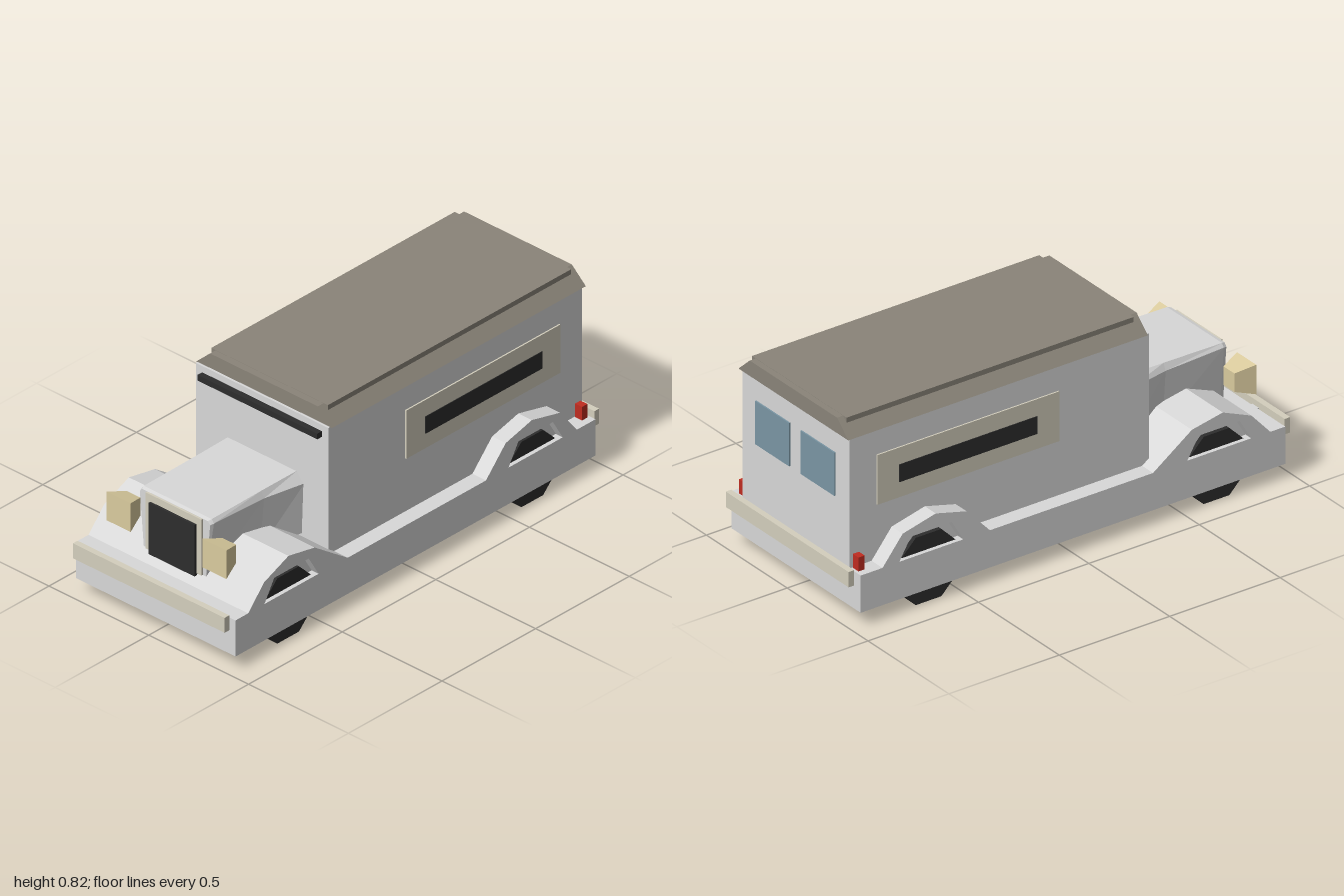
import * as THREE from 'three';
import { mergeGeometries } from 'three/addons/utils/BufferGeometryUtils.js';

const paint = (name, color) => {
  const m = new THREE.MeshStandardMaterial({ color, flatShading: true });
  m.name = name;
  return m;
};

// Solid skinned through cross-sections [z, [[x, y], ...]], rear to front,
// points running counter-clockwise when seen from the front.
function loft(sections) {
  const pos = [];
  const rings = sections.map(([z, pts]) => pts.map(([x, y]) => [x, y, z]));
  const n = rings[0].length;
  const tri = (a, b, c) => pos.push(...a, ...b, ...c);
  for (let i = 0; i < rings.length - 1; i++) {
    for (let j = 0; j < n; j++) {
      const k = (j + 1) % n, a = rings[i], b = rings[i + 1];
      tri(a[j], a[k], b[j]);
      tri(a[k], b[k], b[j]);
    }
  }
  const back = rings[0], front = rings[rings.length - 1];
  for (let j = 1; j < n - 1; j++) {
    tri(back[0], back[j + 1], back[j]);
    tri(front[0], front[j], front[j + 1]);
  }
  const g = new THREE.BufferGeometry();
  g.setAttribute('position', new THREE.Float32BufferAttribute(pos, 3));
  g.computeVertexNormals();
  return g;
}

// Side profile of [z, y] points, extruded across x0..x1, with an optional hole.
function sideExtrude(profile, x0, x1, hole) {
  const toPts = (p) => p.map(([z, y]) => new THREE.Vector2(z, y));
  const shape = new THREE.Shape(toPts(profile));
  if (hole) shape.holes.push(new THREE.Path(toPts(hole)));
  const g = new THREE.ExtrudeGeometry(shape, { depth: x1 - x0, bevelEnabled: false });
  return g.rotateY(-Math.PI / 2).translate(x1, 0, 0);
}

const rect = (x0, x1, y0, y1) => [[x0, y0], [x1, y0], [x1, y1], [x0, y1]];

export function createModel() {
  const root = new THREE.Group();
  root.name = 'vintageVan';
  const body = paint('bodyGrey', 0xd8d8d8);
  const roofBrown = paint('roofBrown', 0x8a8479);
  const black = paint('black', 0x2d2d2d);
  const cream = paint('cream', 0xd4cfbd);
  const lampYellow = paint('lampYellow', 0xdacb9e);
  const glass = paint('glassBlue', 0x7a96a4);
  const red = paint('tailRed', 0xc02c20);

  const add = (name, geo, mat) => {
    const m = new THREE.Mesh(geo, mat);
    m.name = name;
    root.add(m);
    return m;
  };
  const box = (name, mat, [x0, x1], [y0, y1], [z0, z1]) =>
    add(name, new THREE.BoxGeometry(x1 - x0, y1 - y0, z1 - z0)
      .translate((x0 + x1) / 2, (y0 + y1) / 2, (z0 + z1) / 2), mat);

  // Chassis, cabin and bumpers
  box('chassis', body, [-0.4, 0.4], [0.06, 0.215], [-0.96, 0.963]);
  box('cabin', body, [-0.332, 0.332], [0.2, 0.757], [-0.96, 0.395]);
  box('frontBumper', cream, [-0.38, 0.38], [0.17, 0.234], [0.975, 1]);
  box('rearBumper', cream, [-0.38, 0.38], [0.17, 0.234], [-1, -0.975]);
  // short brackets joining the bumpers to the chassis
  for (const s of [-1, 1]) {
    box('frontBracket', body, [s * 0.2 - 0.02, s * 0.2 + 0.02], [0.18, 0.21], [0.95, 0.98]);
    box('rearBracket', body, [s * 0.2 - 0.02, s * 0.2 + 0.02], [0.18, 0.21], [-0.98, -0.95]);
  }

  // Roof with sloped sides and a raised centre slab
  const slope = [[-0.34, 0.755], [0.34, 0.755], [0.27, 0.819], [-0.27, 0.819]];
  add('roof', loft([[-0.972, slope], [0.385, slope]]), roofBrown);
  box('roofSlab', roofBrown, [-0.292, 0.292], [0.78, 0.82], [-0.945, 0.355]);

  // Fenders: solid core plus outer skirts with a wheel opening
  const fenders = [
    { name: 'front', z: 0.664, arch: [[0.9, 0.21], [0.81, 0.31], [0.68, 0.365], [0.54, 0.338], [0.357, 0.21]] },
    { name: 'rear', z: -0.64, arch: [[-0.37, 0.21], [-0.48, 0.328], [-0.62, 0.364], [-0.77, 0.328], [-0.865, 0.21]] },
  ];
  for (const { name, z, arch } of fenders) {
    const hole = [[z - 0.145, 0.216], [z + 0.145, 0.216], [z + 0.092, 0.305], [z - 0.092, 0.305]];
    add(name + 'Fender', mergeGeometries([
      sideExtrude(arch, -0.365, 0.365),
      sideExtrude(arch, 0.365, 0.4, hole),
      sideExtrude(arch, -0.4, -0.365, hole),
    ]), body);
    // Octagonal wheel roller, flat side down
    const wheel = new THREE.CylinderGeometry(0.1515, 0.1515, 0.766, 8, 1, false, Math.PI / 8);
    add(name + 'Wheels', wheel.rotateZ(Math.PI / 2).translate(0, 0.14, z), black);
  }

  // Hood, flaring out where it meets the cabin
  const hoodSection = (low, mid, midY, top, topY) =>
    [[-low, 0.25], [low, 0.25], [mid, midY], [top, topY], [-top, topY], [-mid, midY]];
  add('hood', loft([
    [0.39, hoodSection(0.2, 0.208, 0.465, 0.172, 0.505)],
    [0.58, hoodSection(0.164, 0.183, 0.475, 0.17, 0.503)],
    [0.845, hoodSection(0.158, 0.181, 0.485, 0.17, 0.5)],
    [0.86, hoodSection(0.156, 0.176, 0.482, 0.165, 0.496)],
  ]), body);
  box('grilleFrame', cream, [-0.14, 0.14], [0.255, 0.495], [0.84, 0.868]);
  box('grille', black, [-0.115, 0.115], [0.245, 0.465], [0.84, 0.878]);

  // Visor above the windscreen area
  box('visor', black, [-0.3, 0.3], [0.706, 0.73], [0.39, 0.42]);

  for (const s of [-1, 1]) {
    const span = (a, b) => (s > 0 ? [a, b] : [-b, -a]);
    // Headlamps widen toward the front
    add('headlamp', loft([
      [0.825, rect(...span(0.206, 0.274), 0.348, 0.425)],
      [0.905, rect(...span(0.18, 0.3), 0.324, 0.447)],
    ]), lampYellow);
    // Side panel and its slot window
    box('sidePanel', cream, span(0.33, 0.338), [0.443, 0.65], [-0.838, -0.015]);
    box('sideWindow', black, span(0.334, 0.341), [0.507, 0.58], [-0.74, -0.115]);
    // Rear windows and tail lights
    box('rearWindow', glass, span(0.035, 0.245), [0.48, 0.66], [-0.966, -0.958]);
    box('tailLight', red, span(0.335, 0.37), [0.21, 0.273], [-0.948, -0.92]);
  }
  return root;
}
